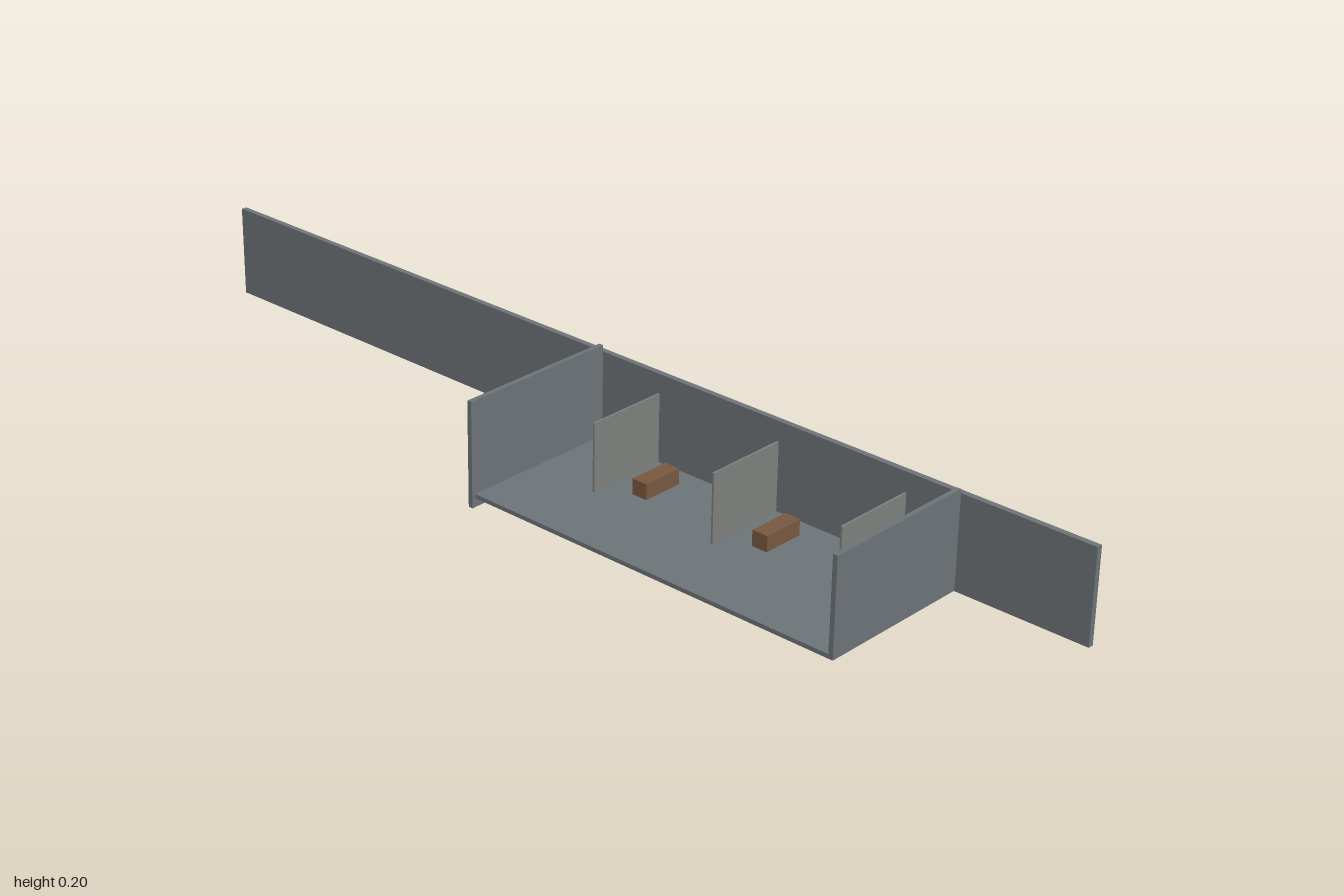
import * as THREE from 'three';

export function createModel() {
  const model = new THREE.Group();
  const steel = new THREE.MeshStandardMaterial({ color: 0x6f767b });
  const partition = new THREE.MeshStandardMaterial({ color: 0x7f837f });
  const wood = new THREE.MeshStandardMaterial({ color: 0x7a5a40 });

  // Box given by its lower and upper limits on each axis
  function slab(name, material, [x0, x1], [y0, y1], [z0, z1]) {
    const mesh = new THREE.Mesh(new THREE.BoxGeometry(x1 - x0, y1 - y0, z1 - z0), material);
    mesh.position.set((x0 + x1) / 2, (y0 + y1) / 2, (z0 + z1) / 2);
    mesh.name = name;
    model.add(mesh);
  }

  // Long side wall
  slab('longWall', steel, [0.156, 0.167], [0.01, 0.187], [-1, 1]);

  // Tray floor with its two end panels
  slab('floor', steel, [-0.16, 0.147], [0.017, 0.025], [-0.034, 0.747]);
  slab('backPanel', steel, [-0.167, 0.155], [0, 0.2], [-0.043, -0.034]);
  slab('frontPanel', steel, [-0.16, 0.147], [0.025, 0.2], [0.738, 0.747]);

  // Bay dividers, each with a small block on the floor in front
  [0.105, 0.372, 0.639].forEach((z, i) => {
    slab(`divider${i + 1}`, partition, [-0.015, 0.147], [0.025, 0.155], [z - 0.002, z + 0.002]);
    slab(`block${i + 1}`, wood, [0.025, 0.108], [0.025, 0.055], [z + 0.053, z + 0.085]);
  });

  return model;
}
